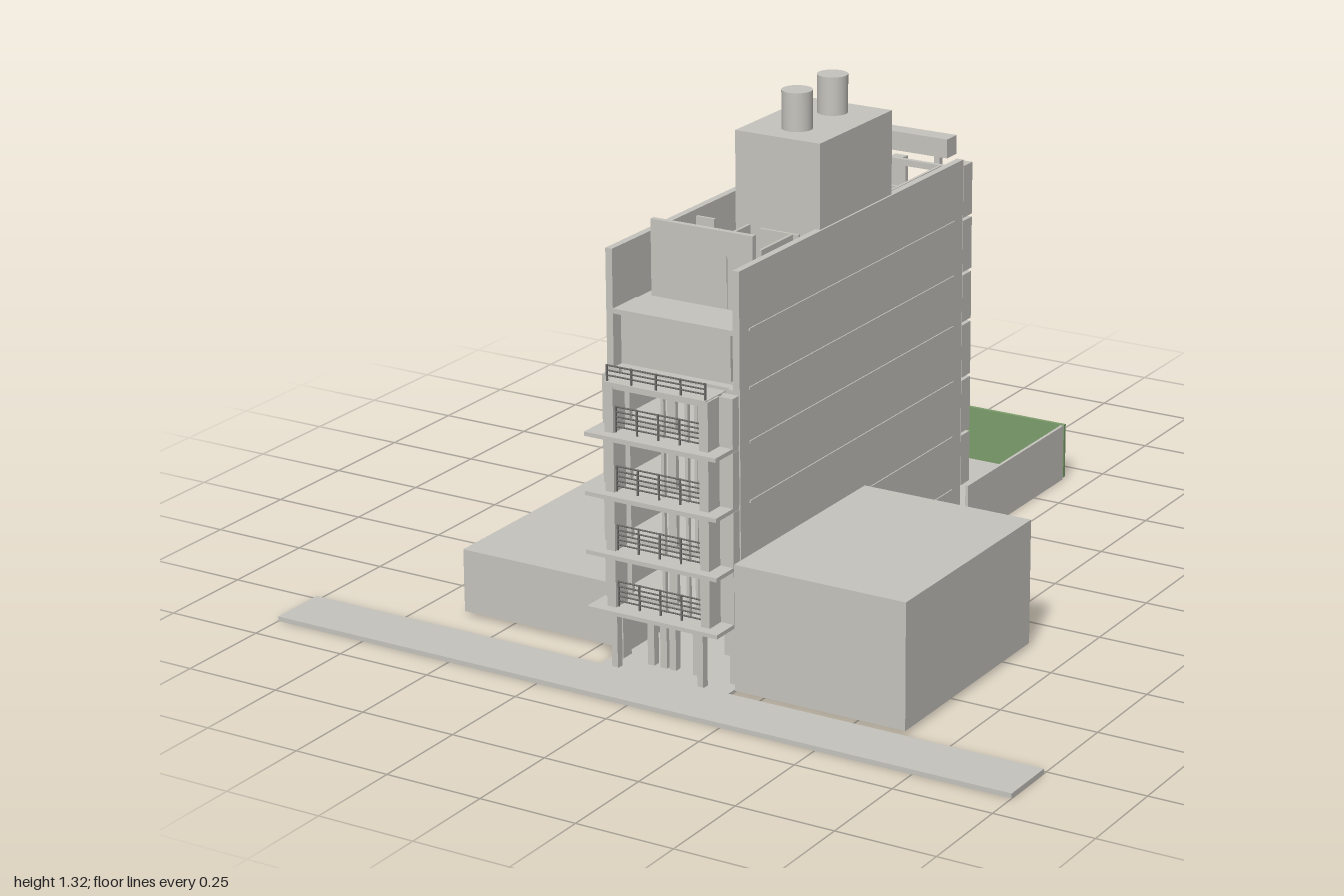
import * as THREE from 'three';

const concrete = new THREE.MeshStandardMaterial({ color: 0xc6c4be });
concrete.name = 'concrete';
const fenceGreen = new THREE.MeshStandardMaterial({ color: 0x7d9e6c });
fenceGreen.name = 'fence green';
const steel = new THREE.MeshStandardMaterial({ color: 0x6c6b68 });
steel.name = 'railing steel';

export function createModel() {
  const model = new THREE.Group();
  model.name = 'narrowApartmentBuilding';

  // Box given by its limits on each axis
  function box(name, x0, x1, y0, y1, z0, z1, mat = concrete, parent = model) {
    const m = new THREE.Mesh(new THREE.BoxGeometry(x1 - x0, y1 - y0, z1 - z0), mat);
    m.position.set((x0 + x1) / 2, (y0 + y1) / 2, (z0 + z1) / 2);
    m.name = name;
    parent.add(m);
    return m;
  }

  // Upright wall in the xy plane with rectangular openings [x0, x1, y0, y1]
  function facade(name, x0, x1, y0, y1, z, depth, openings) {
    const rect = (T, a, b, c, d) => {
      const p = new T();
      p.moveTo(a, c); p.lineTo(b, c); p.lineTo(b, d); p.lineTo(a, d); p.closePath();
      return p;
    };
    const s = rect(THREE.Shape, x0, x1, y0, y1);
    openings.forEach(o => s.holes.push(rect(THREE.Path, ...o)));
    const m = new THREE.Mesh(new THREE.ExtrudeGeometry(s, { depth, bevelEnabled: false }), concrete);
    m.position.z = z;
    m.name = name;
    model.add(m);
  }

  // Horizontal bars between two posts
  function railing(name, x0, x1, y, z, bars = 4, step = 0.012) {
    const g = new THREE.Group();
    g.name = name;
    for (let i = 0; i < bars; i++) {
      const bar = new THREE.Mesh(new THREE.CylinderGeometry(0.002, 0.002, x1 - x0, 6), steel);
      bar.rotation.z = Math.PI / 2;
      bar.position.set((x0 + x1) / 2, y + 0.014 + i * step, z);
      bar.name = 'railBar';
      g.add(bar);
    }
    const n = 4;
    for (let i = 0; i <= n; i++) {
      const x = x0 + (x1 - x0) * i / n;
      box('railPost', x - 0.002, x + 0.002, y, y + 0.016 + (bars - 1) * step, z - 0.002, z + 0.002, steel, g);
    }
    model.add(g);
  }

  // Site: pavement, ground strip, neighbouring blocks
  box('pavement', -1, 1, 0, 0.012, 0.76, 0.912);
  box('groundStrip', -0.178, 0.175, 0, 0.008, -0.91, 0.76);
  box('lowNeighbour', -0.635, -0.185, 0.01, 0.17, -0.045, 0.652);
  box('tallNeighbour', 0.182, 0.633, 0.01, 0.323, 0.138, 0.735);

  // Rear yard
  for (const s of [-1, 1]) box('yardWall', s * 0.174 - 0.004, s * 0.174 + 0.004, 0, 0.15, -0.908, -0.39);
  box('yardFence', -0.185, 0.18, 0.006, 0.152, -0.918, -0.908, fenceGreen);

  // Party walls on both sides
  for (const s of [-1, 1]) {
    box('sideWall', s * 0.17 - 0.009, s * 0.17 + 0.009, 0, 1.015, -0.345, 0.7);
    box('frontPier', s * 0.155 - 0.008, s * 0.155 + 0.008, 0, 0.73, 0.665, 0.7);
    box('rearPier', s * 0.155 - 0.008, s * 0.155 + 0.008, 0.17, 1.0, -0.345, -0.31);
  }

  // Floor slabs, their edges show as thin lines on the side walls
  const floors = [0.17, 0.31, 0.455, 0.6, 0.73, 0.87];
  floors.forEach((y, i) => {
    box('floorSlab', -0.161, 0.161, y - 0.012, y, -0.343, 0.69);
    for (const s of [-1, 1]) box('slabEdge', s * 0.18 - 0.002, s * 0.18 + 0.002, y - 0.006, y, -0.3, 0.66);
    const top = i < 5 ? floors[i + 1] : 1.01;

    // Rear storey: side fins, window wall, balcony rail
    for (const s of [-1, 1]) box('rearFin', s * 0.163 - 0.017, s * 0.163 + 0.017, y - 0.004, top - 0.012, -0.39, -0.345);
    box('rearBalcony', -0.146, 0.146, y - 0.012, y, -0.385, -0.34);
    facade('rearWindowWall', -0.148, 0.148, y, top - 0.012, -0.335, 0.012, [
      [-0.125, -0.035, y + 0.012, top - 0.028],
      [0.03, 0.125, y + 0.012, top - 0.028],
    ]);
    box('rearColumn', -0.02, 0.015, y, top - 0.012, -0.36, -0.336);
    railing('rearRailing', -0.144, -0.022, y, -0.38);
    railing('rearRailing', 0.017, 0.144, y, -0.38);
  });

  // Front bay storeys with cheeks, mullions and railings
  for (let i = 0; i < 4; i++) {
    const y = floors[i], top = i < 3 ? floors[i + 1] - 0.01 : 0.72;
    box('baySlab', -0.18, 0.175, y - 0.01, y, 0.69, 0.8);
    for (const s of [-1, 1]) {
      box('bayCheek', s * 0.128 - 0.012, s * 0.128 + 0.012, y, top, 0.725, 0.775);
      box('bayReturn', s * 0.158 - 0.018, s * 0.158 + 0.018, y, top, 0.7, 0.727);
    }
    facade('bayWindowWall', -0.14, 0.14, y, top, 0.695, 0.012, [
      [-0.115, -0.012, y + 0.012, top - 0.012],
      [0.01, 0.06, y + 0.012, top - 0.012],
      [0.068, 0.115, y + 0.012, top - 0.012],
    ]);
    box('bayHead', -0.118, 0.118, top - 0.014, top, 0.72, 0.772);
    for (const x of [-0.002, 0.063, 0.098]) box('bayMullion', x - 0.004, x + 0.004, y, top, 0.735, 0.745);
    railing('bayRailing', -0.115, 0.115, y, 0.765, 5);
  }
  box('bayRoof', -0.14, 0.135, 0.712, 0.722, 0.69, 0.775);
  railing('terraceRailing', -0.135, 0.13, 0.722, 0.768, 3);

  // Set-back storey and the ledge above it
  facade('setbackWall', -0.161, 0.161, 0.73, 0.86, 0.655, 0.012, [[0.135, 0.15, 0.735, 0.85]]);
  box('setbackLedge', -0.178, 0.175, 0.86, 0.872, 0.6, 0.7);

  // Roof level front screen and rear beam
  box('frontScreen', -0.14, 0.135, 0.87, 1.056, 0.555, 0.569);
  box('screenRib', 0.063, 0.067, 0.872, 1.0, 0.568, 0.572);
  box('rearBeam', -0.14, 0.135, 1.012, 1.06, -0.39, -0.342);
  for (const x of [-0.11, 0.105]) box('beamPost', x - 0.008, x + 0.008, 0.98, 1.02, -0.36, -0.345);

  // Stair core running up to the bulkhead
  box('stairCore', 0.045, 0.162, 0.008, 0.87, 0.0, 0.33);
  box('upperCore', -0.05, 0.05, 0.17, 0.87, 0.0, 0.33);
  box('bulkhead', -0.055, 0.174, 0.87, 1.222, 0.0, 0.334);
  for (const z of [0.083, 0.245]) {
    const tank = new THREE.Mesh(new THREE.CylinderGeometry(0.037, 0.037, 0.093, 32), concrete);
    tank.position.set(0.06, 1.2685, z);
    tank.name = 'waterTank';
    model.add(tank);
  }

  // Open lobby: columns and partitions
  for (const x of [-0.07, -0.035, -0.01, 0.055]) box('lobbyColumn', x - 0.009, x + 0.009, 0.008, 0.16, 0.68, 0.7);
  for (const x of [-0.135, 0.1]) box('frontColumn', x - 0.008, x + 0.008, 0.008, 0.16, 0.735, 0.755);
  box('lobbyPartition', -0.08, 0.0, 0.008, 0.16, 0.2, 0.21);
  box('lobbyScreen', 0.045, 0.161, 0.008, 0.16, 0.55, 0.56);
  for (const x of [-0.14, 0.14]) box('rearColumnBase', x - 0.012, x + 0.012, 0.008, 0.16, -0.34, -0.315);

  // Top floor partitions: [x0, x1, z0, z1]
  [
    [-0.155, -0.148, -0.3, 0.05], [0.135, 0.142, -0.3, -0.02], [-0.15, -0.115, -0.305, -0.297],
    [-0.08, -0.03, -0.268, -0.26], [-0.01, -0.003, -0.3, -0.19], [-0.01, -0.003, -0.13, -0.03],
    [0.03, 0.135, -0.1, -0.093], [-0.075, -0.068, 0.04, 0.1], [-0.15, -0.1, 0.35, 0.357],
    [-0.012, -0.005, 0.35, 0.48], [0.03, 0.135, 0.36, 0.367], [0.115, 0.122, 0.37, 0.51],
    [-0.14, 0.01, 0.53, 0.537],
  ].forEach(([a, b, c, d]) => box('partition', a, b, 0.87, 1.005, c, d));

  // Top floor furniture: [x0, x1, z0, z1, height]
  [
    [-0.145, -0.11, -0.06, 0.045, 0.035], [0.055, 0.135, -0.23, -0.17, 0.03], [-0.125, -0.07, -0.165, -0.12, 0.04],
    [-0.14, -0.11, -0.25, -0.2, 0.05], [-0.085, -0.065, -0.24, -0.21, 0.03], [-0.135, -0.06, 0.445, 0.5, 0.03],
    [0.04, 0.11, -0.085, -0.055, 0.05], [0.04, 0.1, 0.4, 0.43, 0.045],
  ].forEach(([a, b, c, d, h]) => box('furniture', a, b, 0.87, 0.87 + h, c, d));

  return model;
}
